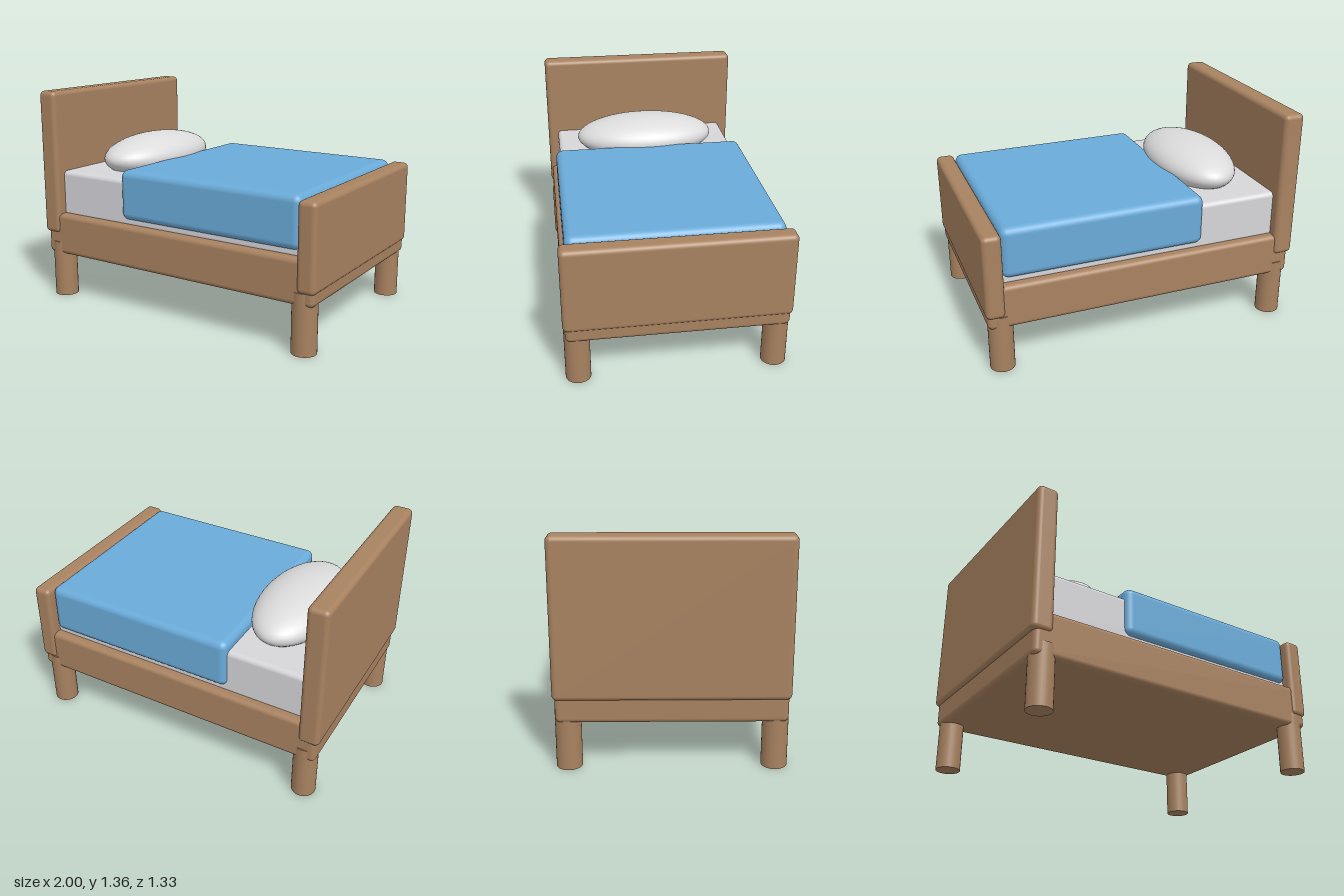
import * as THREE from 'three';
import { RoundedBoxGeometry } from 'three/addons/geometries/RoundedBoxGeometry.js';

function material(name, color) {
  const m = new THREE.MeshStandardMaterial({ color });
  m.name = name;
  return m;
}

export function createModel() {
  const bed = new THREE.Group();
  bed.name = 'bed';
  const wood = material('wood', 0xa88260);
  const linen = material('linen', 0xd6d6da);
  const pillowCloth = material('pillow cloth', 0xdcdcdc);
  const blue = material('blanket blue', 0x6aabd9);

  function add(name, geometry, mat, x, y, z) {
    const mesh = new THREE.Mesh(geometry, mat);
    mesh.name = name;
    mesh.position.set(x, y, z);
    bed.add(mesh);
    return mesh;
  }

  // Rounded block spanning x0..x1 and y0..y1, centred in z
  function block(name, mat, x0, x1, y0, y1, depth, radius) {
    const geometry = new RoundedBoxGeometry(x1 - x0, y1 - y0, depth, 4, radius);
    add(name, geometry, mat, (x0 + x1) / 2, (y0 + y1) / 2, 0);
  }

  // Wooden frame and end boards
  block('frame', wood, -0.98, 0.99, 0.29, 0.56, 1.31, 0.03);
  block('headboard', wood, -1, -0.87, 0.43, 1.36, 1.334, 0.03);
  block('footboard', wood, 0.885, 1, 0.365, 0.89, 1.334, 0.03);

  // Round legs, reaching up into the frame
  const legGeometry = new THREE.CylinderGeometry(0.075, 0.075, 0.37, 32);
  for (const [end, x] of [['head', -0.9], ['foot', 0.907]])
    for (const [side, z] of [['Front', 0.588], ['Back', -0.588]])
      add(`${end}${side}Leg`, legGeometry, wood, x, 0.185, z);

  // Bedding
  block('mattress', linen, -0.89, 0.9, 0.54, 0.84, 1.2, 0.03);
  block('blanket', blue, -0.375, 0.883, 0.59, 0.905, 1.26, 0.045);
  const pillow = add('pillow', new THREE.SphereGeometry(1, 48, 32), pillowCloth, -0.566, 0.907, 0);
  pillow.scale.set(0.25, 0.142, 0.467);

  return bed;
}
